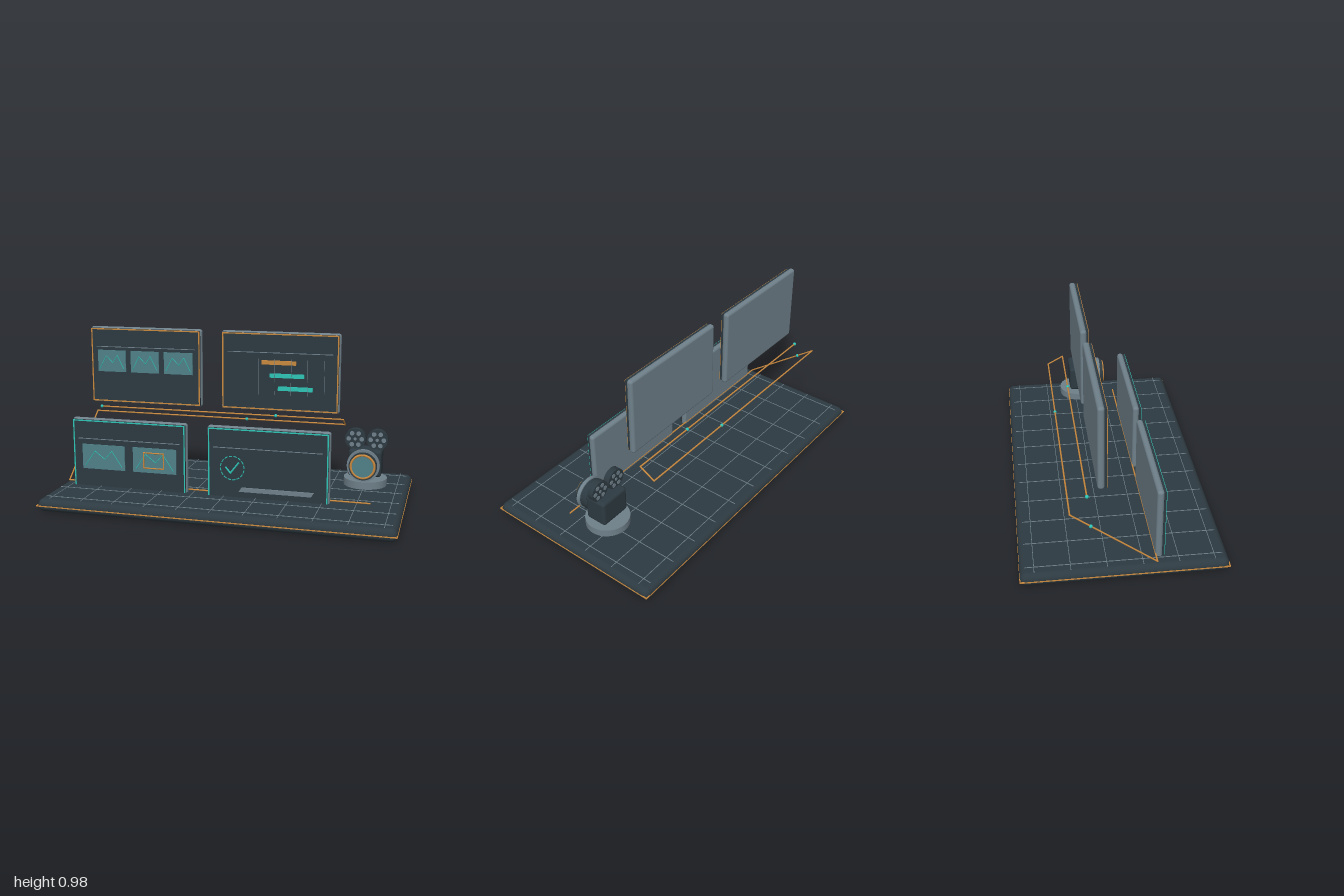
import * as THREE from 'three';
import { RoundedBoxGeometry } from 'three/addons/geometries/RoundedBoxGeometry.js';

const mat = (name, color) => Object.assign(new THREE.MeshStandardMaterial({ color }), { name });
const dark = mat('charcoal', 0x2d3a41);
const slate = mat('slate grey', 0x6f808a);
const teal = mat('teal', 0x2ec4b6);
const orange = mat('orange', 0xc9893f);
const glass = mat('misty glass', 0x4f8088);

function add(parent, name, geometry, material, x = 0, y = 0, z = 0) {
  const mesh = new THREE.Mesh(geometry, material);
  mesh.name = name;
  mesh.position.set(x, y, z);
  parent.add(mesh);
  return mesh;
}
const box = (p, name, m, w, h, d, x, y, z) => add(p, name, new THREE.BoxGeometry(w, h, d), m, x, y, z);

// Cylinder lying along z
function disc(p, name, m, r, d, x, y, z, sides = 40) {
  return add(p, name, new THREE.CylinderGeometry(r, r, d, sides).rotateX(Math.PI / 2), m, x, y, z);
}

// Round rods joining a list of points
function rods(p, name, m, points, r) {
  const group = new THREE.Group();
  group.name = name;
  const v = points.map((q) => new THREE.Vector3(...q));
  for (let i = 0; i < v.length - 1; i++) {
    const dir = v[i + 1].clone().sub(v[i]);
    const mid = v[i].clone().add(v[i + 1]).multiplyScalar(0.5);
    const rod = add(group, 'segment', new THREE.CylinderGeometry(r, r, dir.length(), 8), m, mid.x, mid.y, mid.z);
    rod.quaternion.setFromUnitVectors(new THREE.Vector3(0, 1, 0), dir.normalize());
    add(group, 'joint', new THREE.SphereGeometry(r, 8, 6), m, v[i].x, v[i].y, v[i].z);
  }
  p.add(group);
  return group;
}

// Four thin bars around a rectangle facing z
function frame(p, name, m, w, h, t, d, x, y, z) {
  for (const s of [-1, 1]) {
    box(p, name, m, t, h, d, x + s * (w - t) / 2, y, z);
    box(p, name, m, w - 2 * t, t, d, x, y + s * (h - t) / 2, z);
  }
}

// Floating screen: slab, display, coloured frame and header line
function panel(parent, name, accent, x, y, z) {
  const g = new THREE.Group();
  g.name = name;
  g.position.set(x, y, z);
  add(g, 'panelBack', new RoundedBoxGeometry(0.70, 0.462, 0.036, 4, 0.016), slate);
  box(g, 'display', dark, 0.684, 0.446, 0.012, 0, 0, 0.023);
  frame(g, 'displayFrame', accent, 0.682, 0.444, 0.007, 0.004, 0, 0, 0.030);
  box(g, 'headerLine', slate, 0.62, 0.004, 0.004, 0, 0.112, 0.030);
  parent.add(g);
  return g;
}

// Picture card with a zigzag skyline
function picture(g, x, y, w, h) {
  box(g, 'pictureCard', glass, w, h, 0.006, x, y, 0.035);
  const line = [[-0.43, -0.36], [-0.2, 0.24], [0.03, -0.08], [0.2, 0.27], [0.43, -0.36]];
  rods(g, 'skyline', teal, line.map(([a, b]) => [x + a * w, y + b * h, 0.039]), 0.002);
}

function createModel() {
  const model = new THREE.Group();
  model.name = 'mediaWorkstation';

  // Base with trim and grid
  const base = new THREE.Group();
  base.name = 'base';
  model.add(base);
  add(base, 'basePlate', new RoundedBoxGeometry(1.995, 0.073, 1.078, 6, 0.035), dark, 0, 0.0415, 0);
  for (const s of [-1, 1]) {
    box(base, 'trimLong', orange, 2, 0.006, 0.006, 0, 0.04, s * 0.538);
    box(base, 'trimShort', orange, 0.006, 0.006, 1.07, s * 0.997, 0.04, 0);
  }
  for (let i = -5; i <= 5; i++) box(base, 'gridLineDeep', slate, 0.003, 0.004, 1.02, i * 0.186, 0.079, 0);
  for (let i = -2.5; i <= 2.5; i++) box(base, 'gridLineWide', slate, 1.94, 0.004, 0.003, 0, 0.079, i * 0.186);

  // Upper left panel: three pictures
  const gallery = panel(model, 'galleryPanel', orange, -0.57, 0.75, -0.119);
  for (const x of [-0.21, 0, 0.21]) picture(gallery, x, 0.027, 0.178, 0.13);

  // Upper right panel: timeline bars
  const timeline = panel(model, 'timelinePanel', orange, 0.25, 0.75, -0.119);
  [[-0.002, 0.057, orange], [0.046, -0.018, teal], [0.096, -0.092, teal]].forEach(([x, y, m]) =>
    box(timeline, 'timelineBar', m, 0.202, 0.024, 0.01, x, y, 0.042));
  for (let i = 0; i < 5; i++) box(timeline, 'timelineTick', slate, 0.002, 0.21, 0.002, -0.12 + i * 0.096, -0.025, 0.048);

  // Lower left panel: two pictures and a crop box
  const editor = panel(model, 'editorPanel', teal, -0.57, 0.25, 0.179);
  for (const x of [-0.153, 0.16]) picture(editor, x, 0.007, 0.262, 0.146);
  rods(editor, 'cropBox', orange,
    [[0.1, -0.035], [0.22, -0.035], [0.22, 0.055], [0.1, 0.055], [0.1, -0.035]].map(([x, y]) => [x, y, 0.052]), 0.004);

  // Lower right panel: check badge and tray
  const done = panel(model, 'approvalPanel', teal, 0.25, 0.25, 0.179);
  for (let i = 0; i < 16; i++) {
    const dash = add(done, 'badgeDash', new THREE.TorusGeometry(0.068, 0.003, 6, 4, 0.28), teal, -0.197, 0, 0.043);
    dash.rotation.z = (i * Math.PI) / 8;
  }
  rods(done, 'checkMark', teal, [[-0.233, 0.002, 0.045], [-0.207, -0.029, 0.045], [-0.159, 0.034, 0.045]], 0.005);
  const tray = new THREE.Shape([[-0.16, -0.136], [0.25, -0.136], [0.265, -0.112], [-0.145, -0.112]]
    .map((q) => new THREE.Vector2(...q)));
  add(done, 'tray', new THREE.ExtrudeGeometry(tray, { depth: 0.01, bevelEnabled: false }), slate, 0, 0, 0.03);

  // Linking cable with nodes
  rods(model, 'cable', orange, [[-0.9, 0.472, -0.188], [0.612, 0.472, -0.188], [0.612, 0.422, -0.28],
    [-0.97, 0.422, -0.28], [-0.97, 0.088, 0.163], [0.82, 0.088, 0.163]], 0.0045);
  for (const q of [[-0.9, 0.472, -0.188], [0.21, 0.472, -0.188], [0.01, 0.422, -0.28], [-0.97, 0.344, -0.177]])
    add(model, 'cableNode', new THREE.SphereGeometry(0.01, 16, 12), teal, ...q);

  // Film camera on a floating disc
  const cam = new THREE.Group();
  cam.name = 'filmCamera';
  cam.position.x = 0.762;
  model.add(cam);
  add(cam, 'stand', new THREE.CylinderGeometry(0.122, 0.122, 0.042, 48), slate, 0, 0.151, -0.073);
  add(cam, 'body', new RoundedBoxGeometry(0.186, 0.154, 0.13, 4, 0.018), dark, 0, 0.265, -0.072);
  disc(cam, 'lensBarrel', dark, 0.085, 0.06, 0, 0.271, 0.012);
  disc(cam, 'lensCollar', slate, 0.091, 0.02, 0, 0.271, 0.051);
  disc(cam, 'lensTip', dark, 0.078, 0.022, 0, 0.271, 0.07);
  add(cam, 'lensRing', new THREE.TorusGeometry(0.065, 0.007, 10, 48), orange, 0, 0.271, 0.083);
  disc(cam, 'lensGlass', glass, 0.06, 0.008, 0, 0.271, 0.083);

  // Two film reels with spots on both faces
  for (const s of [-1, 1]) {
    const reel = new THREE.Group();
    reel.name = 'reel';
    reel.position.set(s * 0.062, 0.394, -0.073);
    cam.add(reel);
    disc(reel, 'reelDisc', dark, 0.059, 0.036, 0, 0, 0);
    disc(reel, 'reelHub', slate, 0.009, 0.042, 0, 0, 0, 16);
    for (let i = 0; i < 6; i++) {
      const a = (i * Math.PI) / 3;
      disc(reel, 'reelSpot', slate, 0.013, 0.04, Math.cos(a) * 0.037, Math.sin(a) * 0.037, 0, 16);
    }
  }
  return model;
}

export { createModel };
